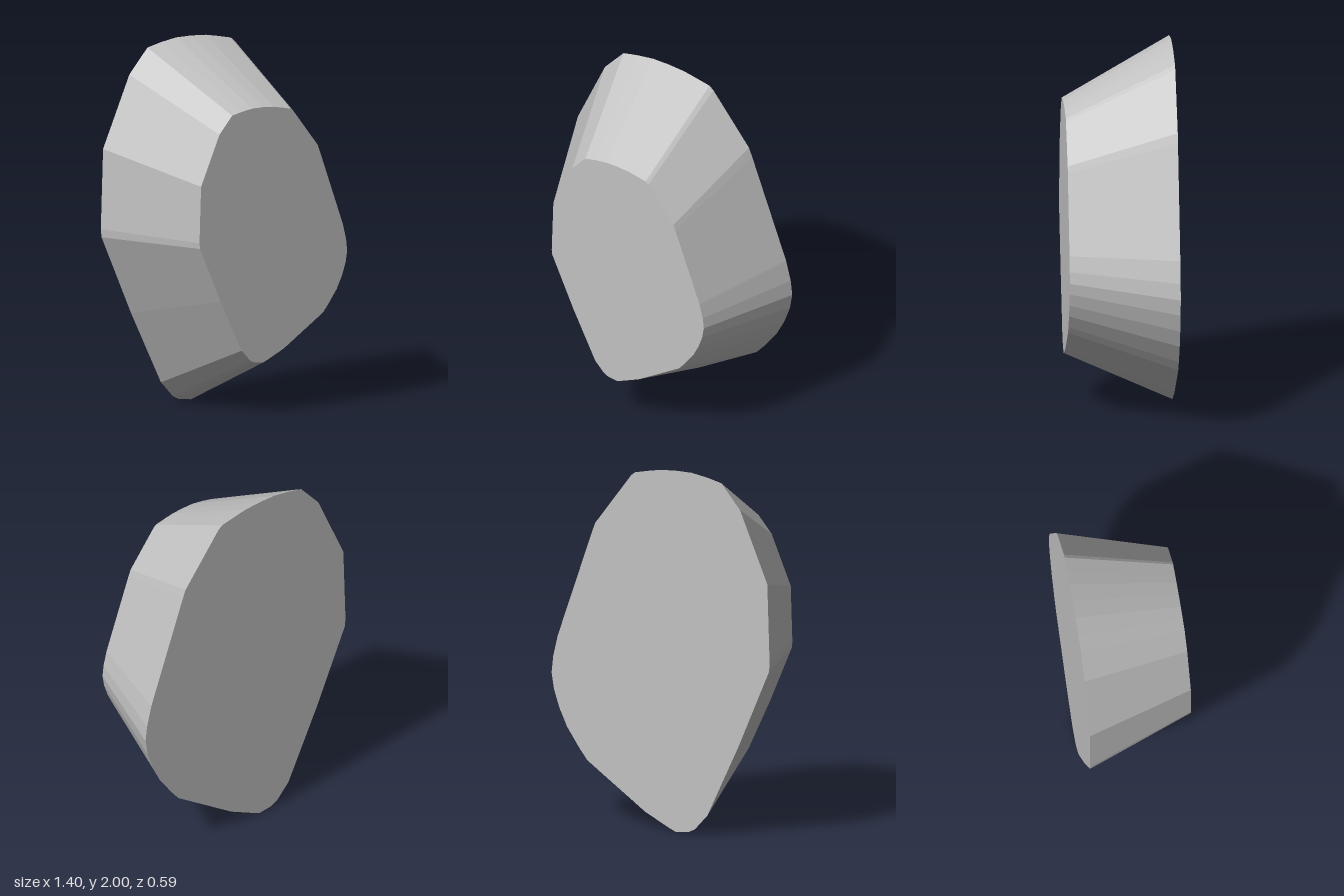
import * as THREE from 'three';

// Back outline, counter-clockwise from the bottom tip
const OUTLINE = [
  [-0.10, 0], [-0.05, 0.02], [0.10, 0.09], [0.47, 0.33], [0.52, 0.39],
  [0.60, 0.50], [0.65, 0.60], [0.685, 0.70], [0.70, 0.79], [0.69, 0.88],
  [0.66, 1.00], [0.44, 1.60], [0.42, 1.65], [0.19, 1.94], [0.165, 1.96],
  [0.07, 1.98], [0, 1.993], [-0.10, 2.00], [-0.20, 2.00], [-0.30, 1.985],
  [-0.39, 1.965], [-0.51, 1.83], [-0.685, 1.44], [-0.70, 1.00],
  [-0.695, 0.955], [-0.50, 0.52], [-0.30, 0.115], [-0.22, 0.03], [-0.18, 0.01],
];
const DEPTH = 0.59;
const FRONT_SCALE = 0.702;
const FRONT_SHIFT = [0.024, 0.285];

export function createModel() {
  const stone = new THREE.MeshStandardMaterial({ color: 0xc2c2c2 });
  stone.name = 'stone grey';

  // Straight prism, then the front end is shrunk to slope the sides
  const shape = new THREE.Shape(OUTLINE.map(([x, y]) => new THREE.Vector2(x, y)));
  const geometry = new THREE.ExtrudeGeometry(shape, { depth: DEPTH, bevelEnabled: false, steps: 1 });
  geometry.translate(0, 0, -DEPTH / 2);
  const pos = geometry.attributes.position;
  for (let i = 0; i < pos.count; i++) {
    if (pos.getZ(i) > 0) {
      pos.setX(i, pos.getX(i) * FRONT_SCALE + FRONT_SHIFT[0]);
      pos.setY(i, pos.getY(i) * FRONT_SCALE + FRONT_SHIFT[1]);
    }
  }
  geometry.computeVertexNormals(); // unshared vertices keep every facet flat

  const rock = new THREE.Mesh(geometry, stone);
  rock.name = 'taperedStone';

  const model = new THREE.Group();
  model.name = 'stone';
  model.add(rock);
  return model;
}
